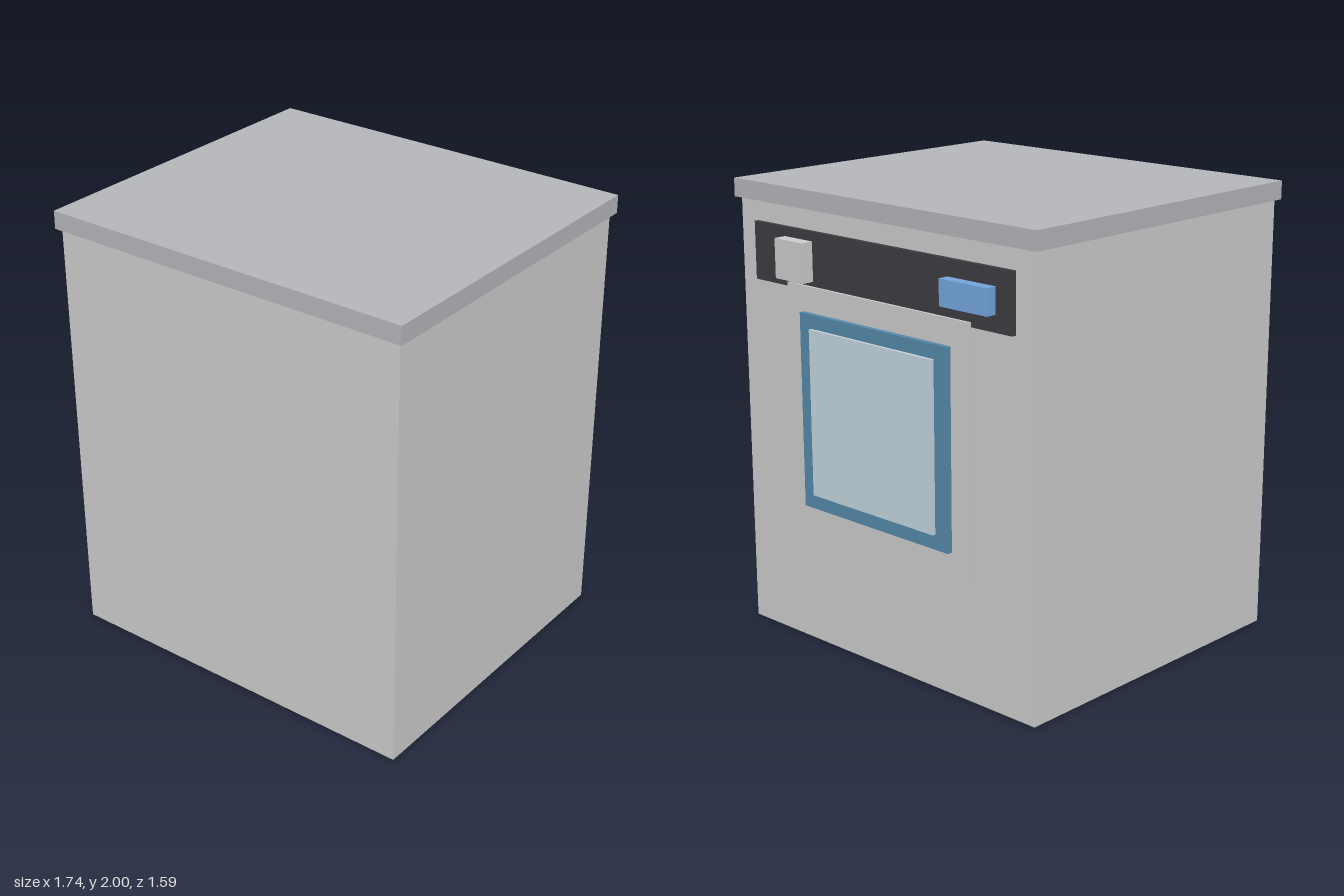
import * as THREE from 'three';

const material = (color) => new THREE.MeshStandardMaterial({ color });

// Box given by its extents along each axis
function slab(name, [x0, x1], [y0, y1], [z0, z1], mat) {
  const mesh = new THREE.Mesh(new THREE.BoxGeometry(x1 - x0, y1 - y0, z1 - z0), mat);
  mesh.position.set((x0 + x1) / 2, (y0 + y1) / 2, (z0 + z1) / 2);
  mesh.name = name;
  return mesh;
}

export function createModel() {
  const model = new THREE.Group();
  model.name = 'washingMachine';

  const grey = material(0xcccccc);
  const worktopGrey = material(0xb4b5ba);
  const trim = material(0xd6d6da);
  const dark = material(0x3c3c42);
  const rimBlue = material(0x5589a8);
  const glassBlue = material(0xc2d4de);
  const displayBlue = material(0x73a5dc);

  // Cabinet and overhanging worktop
  model.add(slab('cabinet', [-0.85, 0.85], [0.003, 1.92], [-0.717, 0.775], grey));
  model.add(slab('worktop', [-0.87, 0.87], [1.92, 2], [-0.74, 0.795], worktopGrey));

  // Control panel with knob and display
  const controls = new THREE.Group();
  controls.name = 'controls';
  controls.add(
    slab('controlPanel', [-0.745, 0.745], [1.58, 1.83], [-0.738, -0.71], dark),
    slab('knob', [0.38, 0.55], [1.62, 1.79], [-0.795, -0.73], trim),
    slab('display', [-0.66, -0.405], [1.65, 1.76], [-0.785, -0.73], displayBlue),
  );
  model.add(controls);

  // Door: plate, coloured rim and window stacked outwards
  const door = new THREE.Group();
  door.name = 'door';
  door.add(
    slab('doorPlate', [-0.53, 0.53], [0.535, 1.6], [-0.75, -0.71], trim),
    slab('doorRim', [-0.43, 0.43], [0.64, 1.49], [-0.773, -0.74], rimBlue),
    slab('doorWindow', [-0.36, 0.36], [0.705, 1.43], [-0.787, -0.76], glassBlue),
  );
  model.add(door);

  // Low feet, almost flush with the underside
  for (const x of [-0.74, 0.74]) {
    for (const z of [-0.62, 0.68]) {
      const foot = new THREE.Mesh(new THREE.CylinderGeometry(0.05, 0.05, 0.04, 16), dark);
      foot.position.set(x, 0.02, z);
      foot.name = 'foot';
      model.add(foot);
    }
  }
  return model;
}
